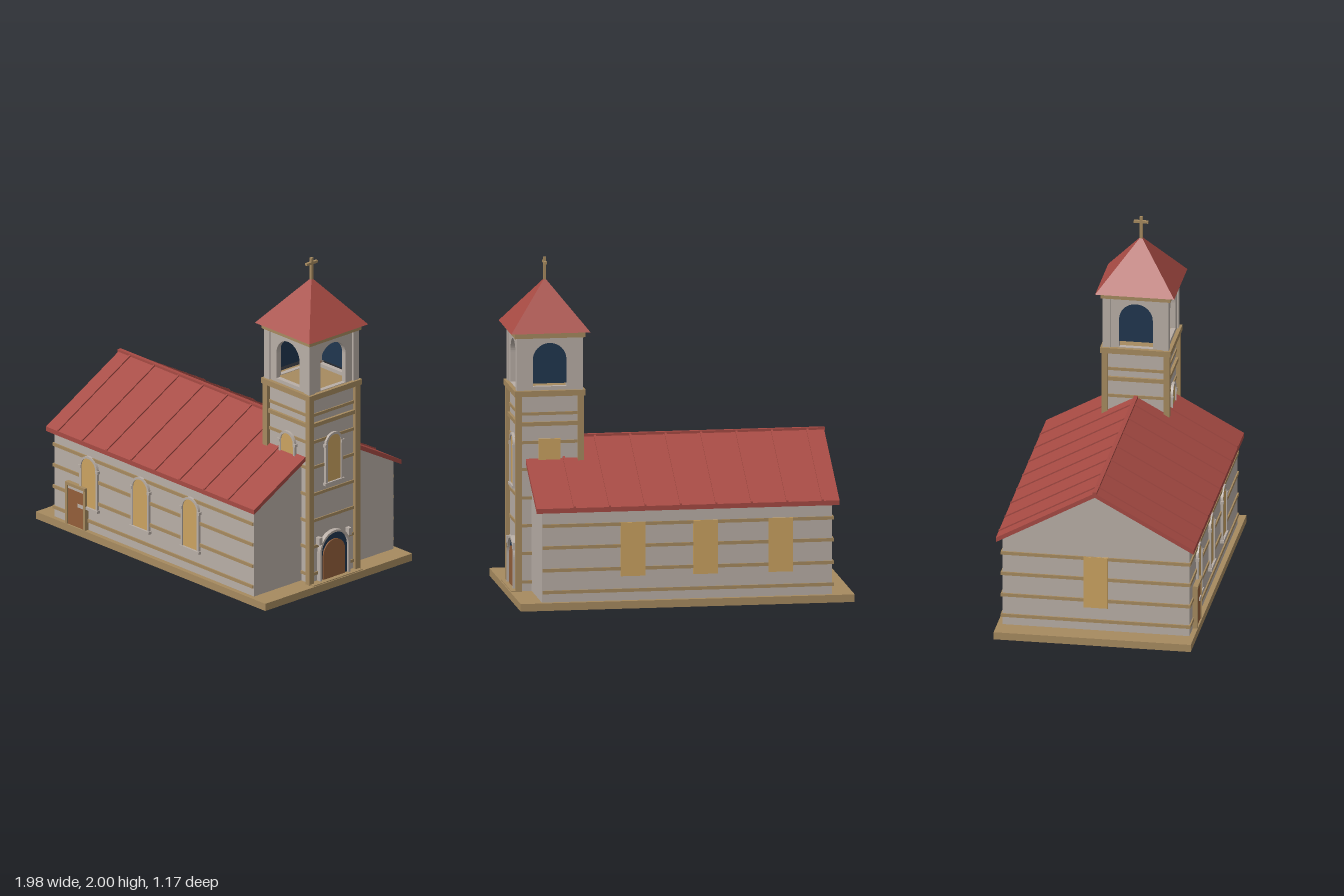
import * as THREE from 'three';

const mat = (name, color) => {
  const m = new THREE.MeshStandardMaterial({ color });
  m.name = name;
  return m;
};

export function createModel() {
  const stone = mat('stone', 0xb8aea6);
  const trim = mat('tan trim', 0xa68a5f);
  const tile = mat('red roof', 0xa64a43);
  const glass = mat('amber glass', 0xcaa260);
  const wood = mat('door wood', 0x935e3a);
  const navy = mat('dark blue', 0x20364f);
  const copper = mat('bell copper', 0x95603e);

  const model = new THREE.Group();
  const add = (parent, name, geometry, material) => {
    const mesh = new THREE.Mesh(geometry, material);
    mesh.name = name;
    parent.add(mesh);
    return mesh;
  };
  // Box given by its limits on each axis
  const box = (parent, name, m, x0, x1, y0, y1, z0, z1) => {
    const mesh = add(parent, name, new THREE.BoxGeometry(x1 - x0, y1 - y0, z1 - z0), m);
    mesh.position.set((x0 + x1) / 2, (y0 + y1) / 2, (z0 + z1) / 2);
    return mesh;
  };
  // Round-headed outline, w wide from y0 to the crown at y1
  const arch = (w, y0, y1, P = THREE.Shape) => {
    const s = new P();
    s.moveTo(-w / 2, y0);
    s.lineTo(w / 2, y0);
    s.lineTo(w / 2, y1 - w / 2);
    s.absarc(0, y1 - w / 2, w / 2, 0, Math.PI, false);
    s.closePath();
    return s;
  };
  const extrude = (shape, depth) =>
    new THREE.ExtrudeGeometry(shape, { depth, bevelEnabled: false, curveSegments: 14 });
  const ring = (wo, wi, y0, yo, yi, depth) => {
    const s = arch(wo, y0, yo);
    s.holes.push(arch(wi, y0 + 0.002, yi, THREE.Path));
    return extrude(s, depth);
  };
  // Group on a wall: local +z points out of the wall
  const onWall = (name, x, z, turn) => {
    const g = new THREE.Group();
    g.name = name;
    g.position.set(x, 0, z);
    g.rotation.y = turn;
    model.add(g);
    return g;
  };
  const archedWindow = (x, z, turn, y0, y1, w) => {
    const g = onWall('archedWindow', x, z, turn);
    add(g, 'pane', extrude(arch(w, y0, y1), 0.009), glass);
    add(g, 'windowFrame', ring(w + 0.028, w, y0 - 0.005, y1 + 0.014, y1, 0.016), stone);
    box(g, 'sill', stone, -w / 2 - 0.022, w / 2 + 0.022, y0 - 0.017, y0, 0, 0.022);
    for (const s of [-1, 1]) {
      const c = s * (w / 2 + 0.012);
      box(g, 'capital', stone, c - 0.011, c + 0.011, y1 - w / 2 - 0.012, y1 - w / 2 + 0.006, 0, 0.02);
    }
  };
  const plainWindow = (x, z, turn, y0, y1, w) =>
    box(onWall('plainWindow', x, z, turn), 'pane', glass, -w / 2, w / 2, y0, y1, 0, 0.012);

  // Base
  box(model, 'base', trim, -0.99, 0.99, 0, 0.045, -0.585, 0.585);

  // Nave with gables
  const gable = new THREE.Shape([[-0.555, 0.045], [0.555, 0.045], [0.555, 0.6], [0, 0.905], [-0.555, 0.6]]
    .map(p => new THREE.Vector2(...p)));
  add(model, 'nave', extrude(gable, 1.72).rotateY(Math.PI / 2), stone).position.x = -0.86;
  for (const y of [0.105, 0.235, 0.37, 0.5])
    box(model, 'naveBand', trim, -0.87, 0.855, y - 0.01, y + 0.01, -0.563, 0.563);

  // Pitched roof, seams and ridge
  const chevron = (lift, t) => new THREE.Shape([
    [-0.587, 0.608 + lift], [-0.587, 0.608 + lift - t], [0, 0.93 + lift - t],
    [0.587, 0.608 + lift - t], [0.587, 0.608 + lift], [0, 0.93 + lift],
  ].map(p => new THREE.Vector2(...p)));
  add(model, 'naveRoof', extrude(chevron(0, 0.028), 1.795).rotateY(Math.PI / 2), tile).position.x = -0.9;
  for (let i = 0; i < 8; i++)
    add(model, 'roofSeam', extrude(chevron(0.009, 0.02), 0.012).rotateY(Math.PI / 2), tile)
      .position.x = -0.806 + i * 0.21;
  box(model, 'ridgeCap', tile, -0.905, 0.6, 0.92, 0.938, -0.012, 0.012);

  // Nave windows
  for (const x of [-0.555, -0.11, 0.32]) {
    archedWindow(x, 0.555, 0, 0.195, 0.5, 0.125);
    plainWindow(x, -0.555, Math.PI, 0.19, 0.51, 0.145);
  }
  plainWindow(-0.86, 0, -Math.PI / 2, 0.19, 0.51, 0.145);

  // Side door
  const side = onWall('sideDoor', -0.655, 0.555, 0);
  box(side, 'doorLeaf', wood, -0.07, 0.07, 0.045, 0.27, 0, 0.02);
  box(side, 'transom', stone, -0.07, 0.07, 0.27, 0.292, 0, 0.02);
  box(side, 'lintel', trim, -0.085, 0.085, 0.292, 0.31, 0, 0.03);
  for (const s of [-1, 1])
    box(side, 'jamb', trim, s * 0.0775 - 0.0075, s * 0.0775 + 0.0075, 0.045, 0.292, 0, 0.028);
  box(side, 'doorHandle', stone, 0.022, 0.068, 0.175, 0.195, 0.02, 0.026);

  // Tower shaft, corner posts and bands
  const cx = 0.755;
  const block = (name, m, r, y0, y1) => box(model, name, m, cx - r, cx + r, y0, y1, -r, r);
  block('towerShaft', stone, 0.178, 0.045, 1.235);
  for (const sx of [-1, 1]) for (const sz of [-1, 1]) {
    const x = cx + sx * 0.184, z = sz * 0.184;
    box(model, 'towerPost', trim, x - 0.018, x + 0.018, 0.045, 1.21, z - 0.018, z + 0.018);
    const bx = cx + sx * 0.174, bz = sz * 0.174;
    box(model, 'belfryPost', stone, bx - 0.022, bx + 0.022, 1.24, 1.552, bz - 0.022, bz + 0.022);
  }
  for (const y of [0.1, 0.27, 0.435, 0.6, 0.77, 0.93, 1.1])
    block('towerBand', trim, 0.185, y - 0.009, y + 0.009);
  block('towerBelt', trim, 0.194, 1.028, 1.052);
  block('towerCornice', trim, 0.21, 1.206, 1.24);

  // Tower windows
  archedWindow(cx, 0.183, 0, 0.655, 0.945, 0.108);
  archedWindow(cx + 0.183, 0, Math.PI / 2, 0.655, 0.945, 0.108);
  plainWindow(cx, -0.178, Math.PI, 0.65, 0.95, 0.13);

  // Main door
  const door = onWall('mainDoor', cx + 0.178, 0, Math.PI / 2);
  add(door, 'doorRecess', extrude(arch(0.215, 0.045, 0.33), 0.012), navy);
  add(door, 'doorLeaf', extrude(arch(0.172, 0.045, 0.285), 0.02), wood);
  add(door, 'doorArch', ring(0.238, 0.212, 0.04, 0.344, 0.33, 0.028), stone);
  for (const s of [-1, 1])
    box(door, 'capital', stone, s * 0.117 - 0.012, s * 0.117 + 0.012, 0.28, 0.325, 0, 0.03);
  box(door, 'doorstep', trim, -0.195, 0.195, 0.02, 0.05, 0, 0.05);

  // Belfry: two open sides, two closed with dark panels
  for (let i = 0; i < 4; i++) {
    const turn = i * Math.PI / 2;
    const wall = onWall('belfryWall', cx, 0, turn);
    const s = new THREE.Shape([[-0.17, 1.24], [0.17, 1.24], [0.17, 1.552], [-0.17, 1.552]]
      .map(p => new THREE.Vector2(...p)));
    s.holes.push(arch(0.2, i % 2 ? 1.243 : 1.262, 1.52, THREE.Path));
    add(wall, 'archedWall', extrude(s, 0.03), stone).position.z = 0.157;
    if (i > 1)
      add(wall, 'darkPanel', extrude(arch(0.2, 1.28, 1.52), 0.009), navy).position.z = 0.175;
  }
  block('belfryCornice', trim, 0.208, 1.552, 1.587);

  // Bell
  const bell = [[0, 1.462], [0.024, 1.46], [0.032, 1.44], [0.036, 1.395], [0.045, 1.365], [0.06, 1.345], [0.052, 1.345], [0, 1.37]]
    .map(p => new THREE.Vector2(...p)).reverse();
  const flatCopper = copper;
  flatCopper.flatShading = true;
  add(model, 'bell', new THREE.LatheGeometry(bell, 12), flatCopper).position.x = cx;
  add(model, 'bellHanger', new THREE.CylinderGeometry(0.008, 0.008, 0.1, 8), copper).position.set(cx, 1.505, 0);
  add(model, 'clapper', new THREE.CylinderGeometry(0.006, 0.01, 0.05, 8), copper).position.set(cx, 1.345, 0);

  // Spire and cross
  const spire = new THREE.ConeGeometry(0.235 * Math.SQRT2, 0.29, 4).rotateY(Math.PI / 4).toNonIndexed();
  spire.computeVertexNormals();
  add(model, 'spire', spire, tile).position.set(cx, 1.73, 0);
  box(model, 'crossPost', trim, cx - 0.008, cx + 0.008, 1.86, 2, -0.008, 0.008);
  box(model, 'crossBar', trim, cx - 0.008, cx + 0.008, 1.96, 1.975, -0.043, 0.043);

  return model;
}
